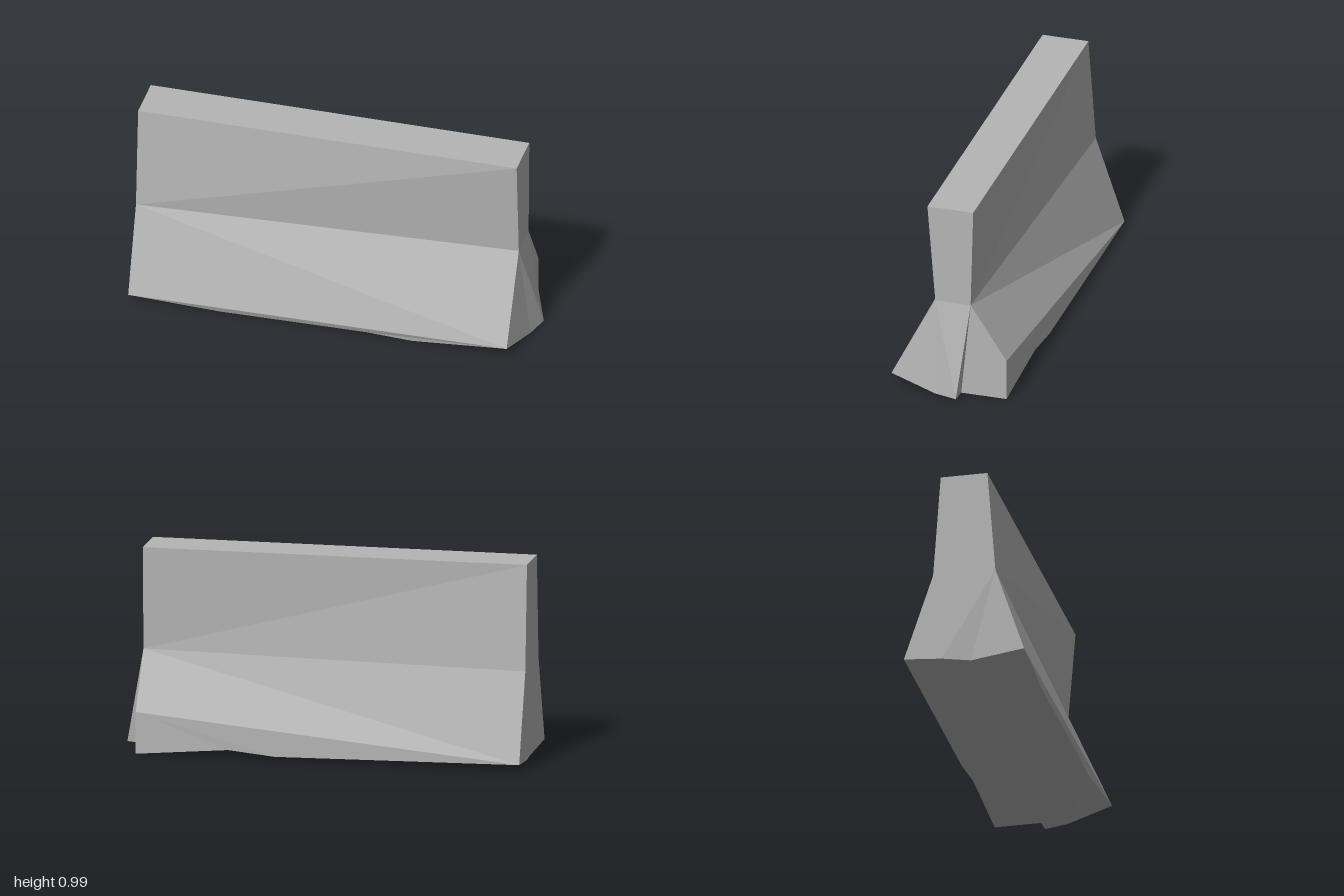
import * as THREE from 'three';

// Named corners of the worn barrier
const P = {
  // top slab, front (f) and back (b), at the -x (0) and +x (1) ends
  topF0: [-1, 0.993, 0.117], topF1: [0.91, 0.993, 0.117],
  topB0: [-1, 0.993, -0.116], topB1: [0.91, 0.993, -0.116],
  // waist where the wall meets the flared foot
  waistF0: [-1, 0.47, 0.157], waistF1: [0.91, 0.485, 0.077],
  waistB0: [-1, 0.47, -0.154], waistB1: [0.91, 0.485, -0.103],
  // foot edges
  footF0: [-1, 0.033, 0.3], footF1: [0.91, 0.055, 0.3],
  footB0: [-1, 0.035, -0.3], footB1: [0.91, 0.208, -0.286],
  // broken lower rim
  rimF0: [-0.54, 0.01, 0.289], rimF1: [0.2, 0.02, 0.289], rimF2: [0.43, 0.01, 0.289],
  rimB0: [0.22, 0.018, -0.292], rimB1: [0.45, 0.04, -0.288], rimB2: [0.91, 0, -0.286],
  endB: [-1, 0.02, -0.11], endF: [-0.98, 0.005, 0.03],
  // broken spur at the +x end
  spurTip: [1, 0.008, -0.055], spurFront: [0.965, 0.005, 0.06], spurRoot: [0.91, 0, -0.055],
};

// Each polygon is listed counter-clockwise and fanned from its first corner
const parts = {
  upperWall: [
    'topF0 topF1 topB1 topB0',
    'topF0 waistF0 topF1',
    'waistF0 waistF1 topF1',
    'topB0 topB1 waistB1 waistB0',
    'topF1 waistF1 waistB1 topB1',
    'waistF0 topF0 topB0 waistB0',
  ],
  flaredFoot: [
    'waistF0 footF0 footF1 waistF1',
    'waistB1 footB1 footB0 waistB0',
    'waistF0 waistB0 footB0 endB endF footF0',
    'waistB1 spurRoot rimB2 footB1',
  ],
  brokenSpur: [
    'waistF1 spurFront spurTip waistB1',
    'waistF1 footF1 spurFront',
    'waistB1 spurTip spurRoot',
  ],
  lowerRim: [
    'footF1 footF0 rimF0 rimF1 rimF2',
    'footB1 rimB2 rimB1 rimB0 footB0',
  ],
  underside: [
    'footF1 rimF2 spurFront',
    'spurFront rimF2 spurTip',
    'spurTip rimF2 spurRoot',
    'spurRoot rimF2 rimB1 rimB2',
    'rimF2 rimF1 rimB1',
    'rimF1 rimB0 rimB1',
    'rimF1 rimF0 rimB0',
    'rimF0 footB0 rimB0',
    'rimF0 endB footB0',
    'rimF0 endF endB',
    'rimF0 footF0 endF',
  ],
};

// Unshared corners keep every facet flat
function facets(polygons) {
  const pos = [];
  for (const poly of polygons) {
    const c = poly.split(' ').map((n) => P[n]);
    for (let i = 1; i < c.length - 1; i++) pos.push(...c[0], ...c[i], ...c[i + 1]);
  }
  const g = new THREE.BufferGeometry();
  g.setAttribute('position', new THREE.Float32BufferAttribute(pos, 3));
  g.computeVertexNormals();
  return g;
}

export function createModel() {
  const group = new THREE.Group();
  group.name = 'concreteBarrier';
  const concrete = new THREE.MeshStandardMaterial({ color: 0xb5b5b5 });
  concrete.name = 'concrete grey';
  for (const [name, polygons] of Object.entries(parts)) {
    const mesh = new THREE.Mesh(facets(polygons), concrete);
    mesh.name = name;
    group.add(mesh);
  }
  return group;
}
